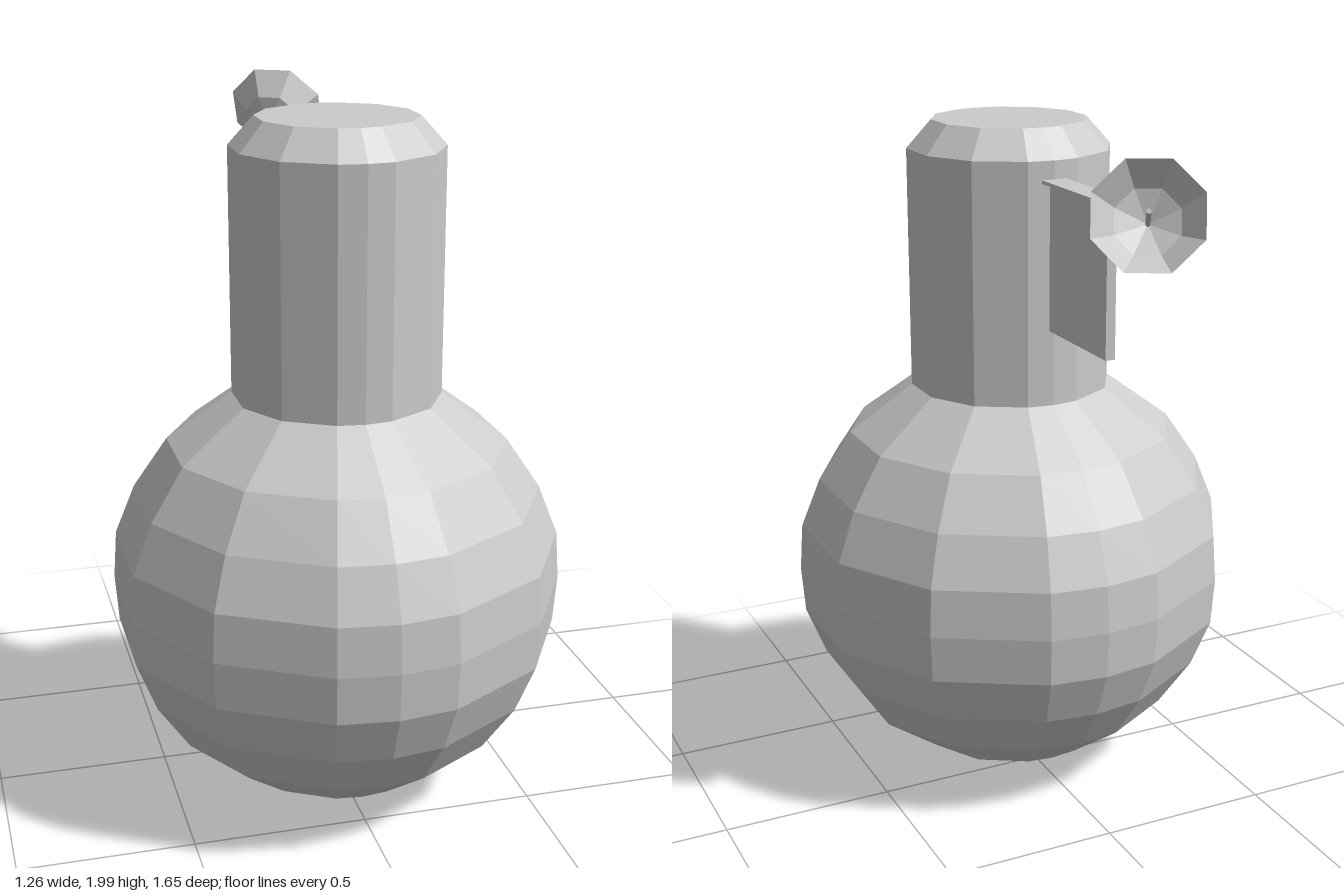
import * as THREE from 'three';

const RIM_ANGLES = [0, 15, 45, 75, 105, 135, 165, 180, 195, 225, 255, 285, 315, 345, 360];
const CENTRE_Z = 0.174;

// Lathe whose sides follow RIM_ANGLES instead of equal steps
function facetedLathe(profile) {
  const points = profile.map(([r, y]) => new THREE.Vector2(r, y));
  const geometry = new THREE.LatheGeometry(points, RIM_ANGLES.length - 1);
  const pos = geometry.attributes.position;
  for (let i = 0; i < pos.count; i++) {
    const angle = THREE.MathUtils.degToRad(RIM_ANGLES[Math.floor(i / points.length)]);
    const r = points[i % points.length].x;
    pos.setX(i, r * Math.sin(angle));
    pos.setZ(i, r * Math.cos(angle));
  }
  geometry.translate(0, 0, CENTRE_Z);
  geometry.computeVertexNormals();
  return geometry;
}

export function createModel() {
  const model = new THREE.Group();
  model.name = 'sphericalTank';
  const grey = new THREE.MeshStandardMaterial({ color: 0xcccccc, flatShading: true });
  const thin = new THREE.MeshStandardMaterial({ color: 0xcccccc, flatShading: true, side: THREE.DoubleSide });

  const add = (parent, name, geometry, x = 0, y = 0, z = 0, material = grey) => {
    const mesh = new THREE.Mesh(geometry, material);
    mesh.name = name;
    mesh.position.set(x, y, z);
    parent.add(mesh);
    return mesh;
  };

  // Round body with a flat base
  add(model, 'body', facetedLathe([
    [0, 0], [0.17, 0], [0.3, 0.06], [0.487, 0.2], [0.585, 0.345], [0.643, 0.49],
    [0.653, 0.63], [0.643, 0.77], [0.585, 0.915], [0.487, 1.06], [0.298, 1.2],
  ]));

  // Tower with a bevelled top
  add(model, 'tower', facetedLathe([
    [0.298, 1.2], [0.298, 1.9], [0.226, 1.98], [0, 1.98],
  ]));

  // Bracket behind the tower: upright fin under a thin plate
  add(model, 'bracketFin', new THREE.BoxGeometry(0.028, 0.42, 0.37), 0, 1.63, -0.275);
  add(model, 'bracketPlate', new THREE.BoxGeometry(0.074, 0.01, 0.425), 0, 1.843, -0.3125);

  // Antenna arm
  const arm = new THREE.CylinderGeometry(0.007, 0.007, 0.17, 6).rotateX(Math.PI / 2);
  add(model, 'antennaArm', arm, 0, 1.825, -0.575);

  // Tilted dish with its feed rod; local +z is the dish axis
  const antenna = new THREE.Group();
  antenna.name = 'antenna';
  antenna.position.set(0.008, 1.822, -0.66);
  antenna.lookAt(0.448, 2.222, -1.47);
  model.add(antenna);

  const profile = [[0, 0], [0.09, 0.03], [0.152, 0.1]].map(([r, y]) => new THREE.Vector2(r, y));
  const dish = new THREE.LatheGeometry(profile, 8, Math.PI / 8).rotateX(Math.PI / 2);
  add(antenna, 'dish', dish, 0, 0, 0, thin);
  const feed = new THREE.CylinderGeometry(0.007, 0.007, 0.15, 6).rotateX(Math.PI / 2);
  add(antenna, 'feedRod', feed, 0, 0, 0.075);

  return model;
}
